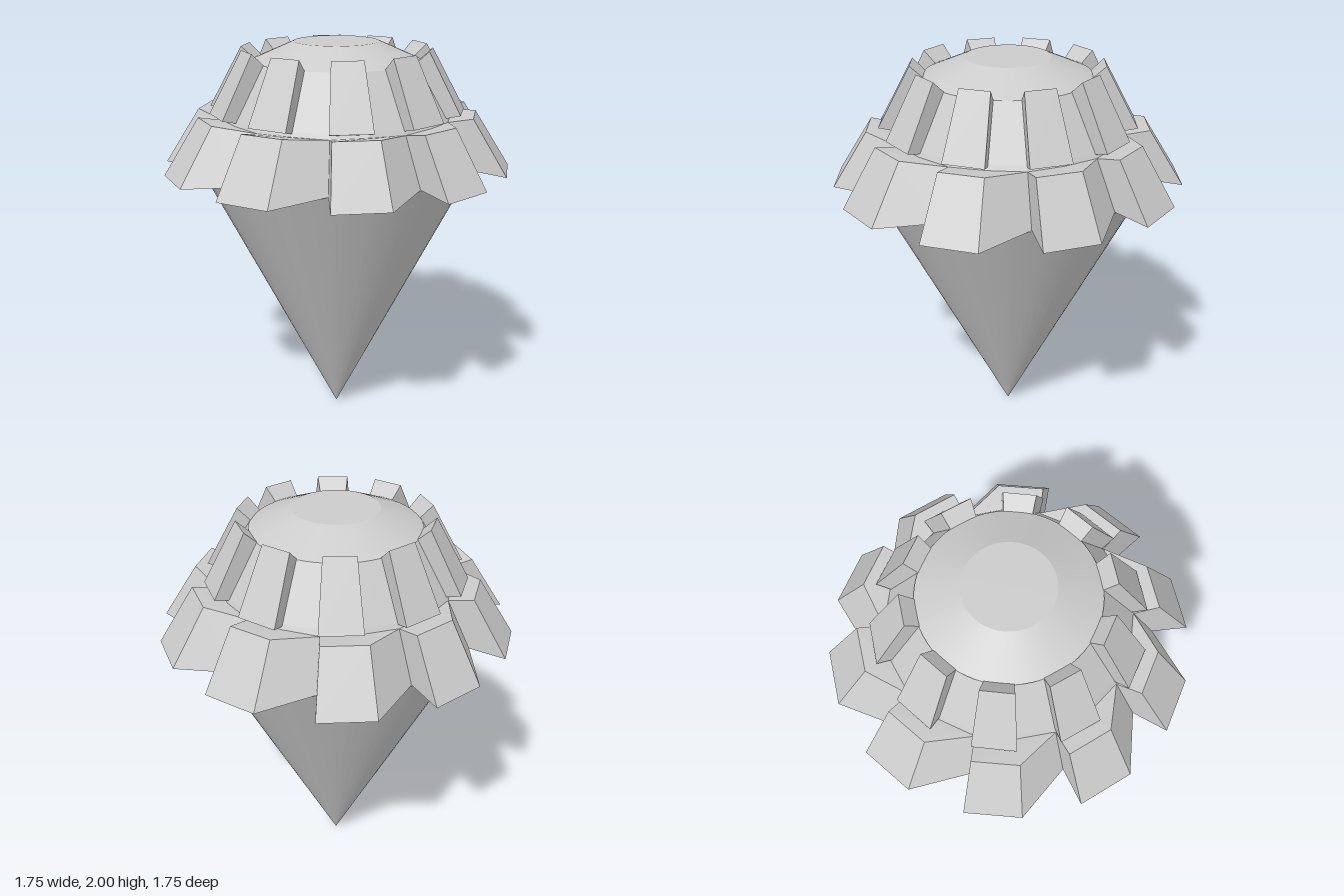
import * as THREE from 'three';
import { ConvexGeometry } from 'three/addons/geometries/ConvexGeometry.js';

const grey = new THREE.MeshStandardMaterial({ color: 0xcccccc, side: THREE.DoubleSide });
const faceted = new THREE.MeshStandardMaterial({ color: 0xcccccc, flatShading: true, side: THREE.DoubleSide });
const COUNT = 10;

// point from angle in degrees (x towards z), radius and height
const polar = (deg, r, y) => {
  const a = THREE.MathUtils.degToRad(deg);
  return new THREE.Vector3(r * Math.cos(a), y, r * Math.sin(a));
};

// ring of identical blocks, each the hull of [angle, radius, height] corners
function blockRing(name, corners) {
  const ring = new THREE.Group();
  ring.name = name + 'Ring';
  const geometry = new ConvexGeometry(corners.map(c => polar(...c)));
  for (let i = 0; i < COUNT; i++) {
    const block = new THREE.Mesh(geometry, faceted);
    block.name = name;
    block.rotation.y = (i * Math.PI * 2) / COUNT;
    ring.add(block);
  }
  return ring;
}

export function createModel() {
  const model = new THREE.Group();
  const add = (name, geometry, material, y) => {
    const mesh = new THREE.Mesh(geometry, material);
    mesh.name = name;
    mesh.position.y = y;
    model.add(mesh);
  };

  // pointed lower cone, tip on the ground
  const cone = new THREE.ConeGeometry(0.7, 1.4, 64, 1, true);
  cone.rotateX(Math.PI);
  add('lowerCone', cone, grey, 0.7);

  // twenty-sided crown body
  add('crownLower', new THREE.CylinderGeometry(0.565, 0.7, 0.255, 20, 1, true), faceted, 1.5325);
  add('crownUpper', new THREE.CylinderGeometry(0.415, 0.565, 0.25, 20, 1, true), faceted, 1.785);

  // shallow cap with a flat round top
  add('cap', new THREE.CylinderGeometry(0.21, 0.415, 0.09, 60, 1, true), grey, 1.955);
  const top = new THREE.CircleGeometry(0.21, 60);
  top.rotateX(-Math.PI / 2);
  add('capTop', top, grey, 2);

  // lower saw-tooth blocks: one side steep, the other running back to the body
  model.add(blockRing('lowerBlock', [
    [70.9, 0.877, 1.38], [88.7, 0.877, 1.38],
    [70.9, 0.7, 1.657], [88.7, 0.7, 1.657],
    [54, 0.7, 1.405], [90, 0.7, 1.405],
    [54, 0.58, 1.635], [90, 0.58, 1.635],
  ]));

  // upper blocks, standing slightly above the cap's edge
  const upper = [];
  for (const a of [71.7, 90]) {
    upper.push([a, 0.475, 1.97], [a, 0.41, 1.91], [a, 0.64, 1.67], [a, 0.56, 1.65]);
  }
  model.add(blockRing('upperBlock', upper));

  return model;
}
